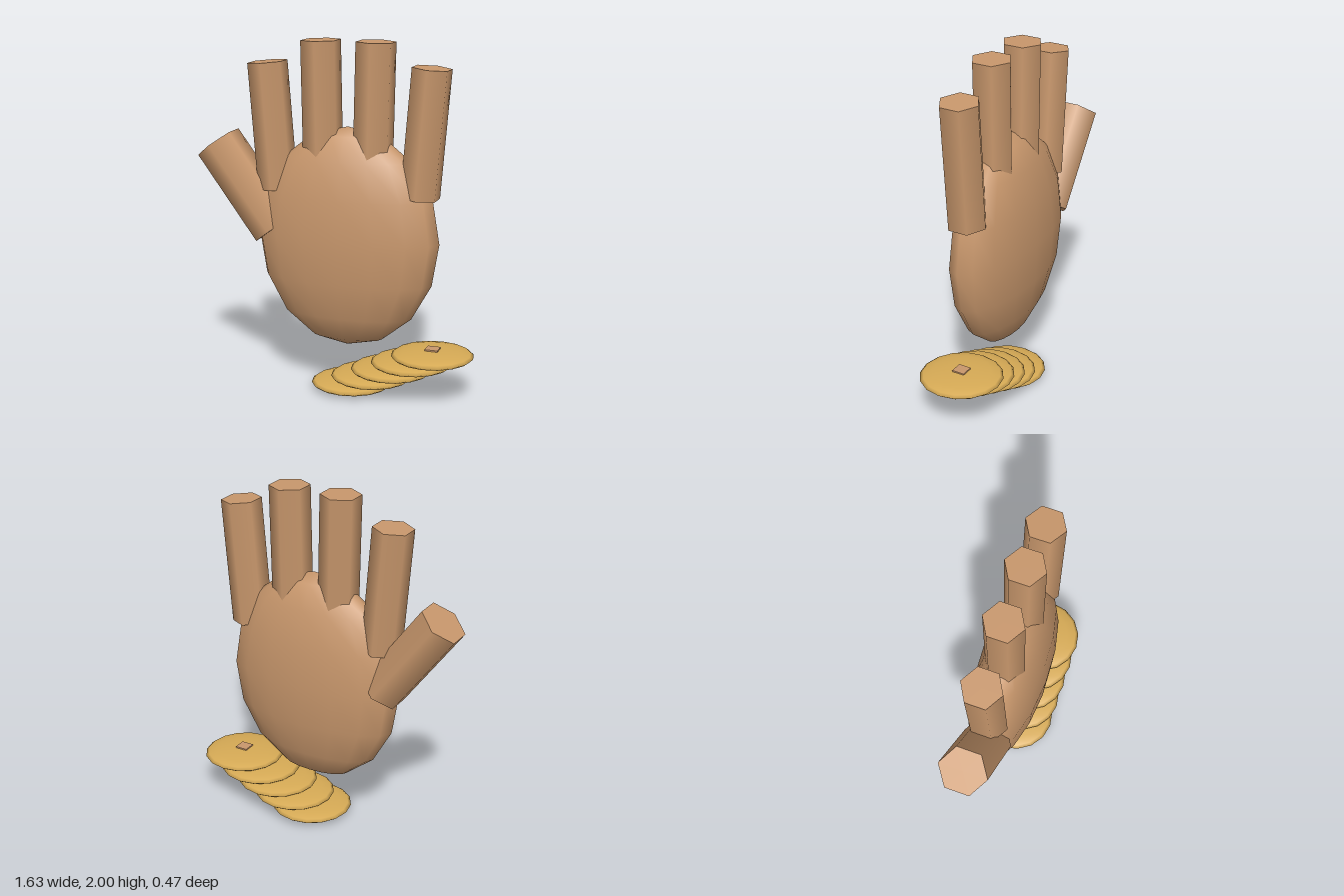
import * as THREE from 'three';

export function createModel() {
  const hand = new THREE.Group();
  hand.name = 'handWithCoins';

  const skin = new THREE.MeshStandardMaterial({ color: 0xc8976c });
  skin.name = 'skin';
  const gold = new THREE.MeshStandardMaterial({ color: 0xd6aa55 });
  gold.name = 'gold';

  function add(name, geometry, material, x, y, tilt = 0) {
    const mesh = new THREE.Mesh(geometry, material);
    mesh.name = name;
    mesh.position.set(x, y, 0);
    mesh.rotation.z = tilt;
    hand.add(mesh);
    return mesh;
  }

  // Flattened ball, used for the palm and the coins
  const ellipsoid = (rx, ry, rz) => new THREE.SphereGeometry(1, 16, 8).scale(rx, ry, rz);

  const centre = 0.07;
  add('palm', ellipsoid(0.535, 0.633, 0.195), skin, centre, 0.892);

  // Six-sided fingers, mirrored about the palm centre
  const finger = new THREE.CylinderGeometry(0.114, 0.114, 0.72, 6);
  for (const side of [-1, 1]) {
    const label = side < 0 ? 'right' : 'left';
    add(label + 'OuterFinger', finger, skin, centre + side * 0.449, 1.509, -side * 0.08);
    add(label + 'InnerFinger', finger, skin, centre + side * 0.153, 1.639, -side * 0.02);
  }

  // Thicker, shorter thumb leaning outward
  add('thumb', new THREE.CylinderGeometry(0.139, 0.139, 0.596, 6), skin, -0.541, 1.153, 0.635);

  // Staggered stack of lens-shaped coins
  const coin = ellipsoid(0.235, 0.035, 0.235);
  for (let i = 0; i < 5; i++) {
    add('coin' + (i + 1), coin, gold, 0.1 + i * 0.119, 0.037 + i * 0.0525);
  }

  // Small square stud on the top coin
  add('coinStud', new THREE.BoxGeometry(0.074, 0.016, 0.074), skin, 0.577, 0.281);

  return hand;
}
